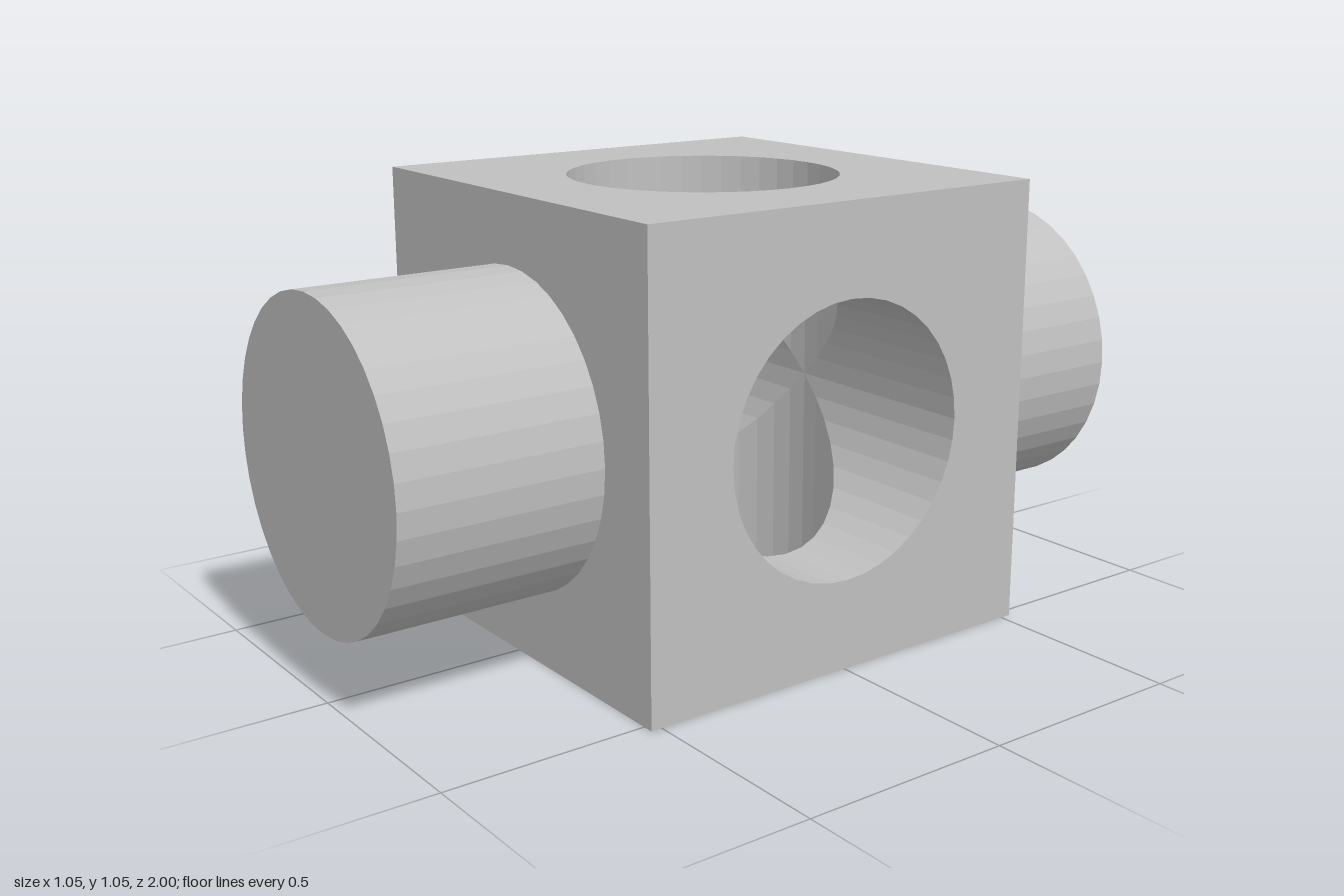
import * as THREE from 'three';
import { mergeGeometries } from 'three/addons/utils/BufferGeometryUtils.js';

const HALF = 0.526;   // half the cube's edge, also the height of its centre
const BORE = 0.316;   // radius of the two crossing holes
const PEG = 0.368;    // radius of the front and back pegs
const SIDES = 40;

// Square cube face towards +z with a round opening
function faceGeometry(radius) {
  const shape = new THREE.Shape([
    new THREE.Vector2(-HALF, -HALF), new THREE.Vector2(HALF, -HALF),
    new THREE.Vector2(HALF, HALF), new THREE.Vector2(-HALF, HALF),
  ]);
  const hole = new THREE.Path();
  hole.absarc(0, 0, radius, 0, Math.PI * 2, true);
  shape.holes.push(hole);
  return new THREE.ShapeGeometry(shape, SIDES / 2).translate(0, 0, HALF);
}

// Inward-facing wall of half a bore, cut off where it meets the crossing bore
function boreGeometry() {
  const geo = new THREE.CylinderGeometry(BORE, BORE, 1, SIDES, 4, true)
    .translate(0, 0.5, 0).rotateX(Math.PI / 2);
  const p = geo.attributes.position;
  for (let i = 0; i < p.count; i++) {
    p.setZ(i, THREE.MathUtils.lerp(Math.abs(p.getY(i)), HALF, p.getZ(i)));
  }
  geo.index.array.reverse();
  const flat = geo.toNonIndexed();
  flat.computeVertexNormals();
  return flat;
}

// Round peg with a flat end, running from the cube face to z = 1
function pegGeometry() {
  const length = 1 - HALF;
  const wall = new THREE.CylinderGeometry(PEG, PEG, length, SIDES, 4, true)
    .rotateX(Math.PI / 2).translate(0, 0, HALF + length / 2);
  const end = new THREE.CircleGeometry(PEG, SIDES).translate(0, 0, 1);
  const flat = mergeGeometries([wall, end]).toNonIndexed();
  flat.computeVertexNormals();
  return flat;
}

export function createModel() {
  const grey = new THREE.MeshStandardMaterial({ color: 0xc0c0c0, flatShading: true });
  grey.name = 'light grey';
  const model = new THREE.Group();
  model.name = 'crossBlock';

  const add = (name, geo) => {
    const mesh = new THREE.Mesh(geo, grey);
    mesh.name = name;
    mesh.position.y = HALF;
    model.add(mesh);
  };

  // Four drilled sides: left, top, right, bottom
  ['left', 'top', 'right', 'bottom'].forEach((side, k) => {
    const place = (geo) => geo.rotateY(Math.PI / 2).rotateZ(k * Math.PI / 2);
    add(side + 'Face', place(faceGeometry(BORE)));
    add(side + 'Bore', place(boreGeometry()));
  });

  // Front and back faces with their pegs
  ['front', 'back'].forEach((side, k) => {
    add(side + 'Face', faceGeometry(PEG).rotateY(k * Math.PI));
    add(side + 'Peg', pegGeometry().rotateY(k * Math.PI));
  });

  return model;
}
